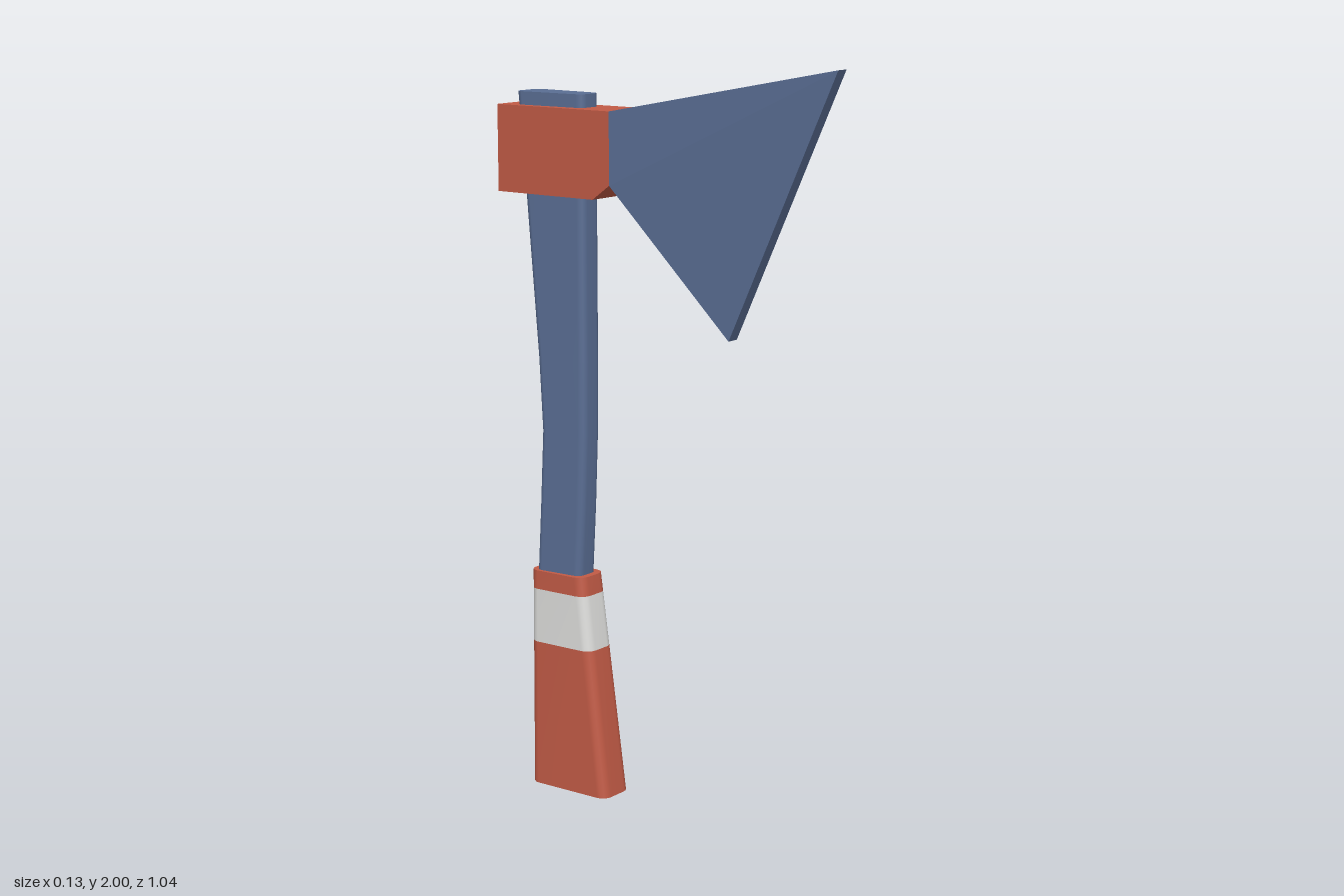
import * as THREE from 'three';

const steelBlue = new THREE.MeshStandardMaterial({ name: 'steel blue', color: 0x5a6e94 });
const brickRed = new THREE.MeshStandardMaterial({ name: 'brick red', color: 0xc25b46 });
const paleGrey = new THREE.MeshStandardMaterial({ name: 'pale grey', color: 0xdededc });

// Rounded, slightly tapered cross-section: half-widths at its front and back
function ring({ y, front, back, wf, wb, r }) {
  const corners = [
    [wf - r, front - r, 0], [-wf + r, front - r, 1],
    [-wb + r, back + r, 2], [wb - r, back + r, 3],
  ];
  const points = [];
  for (const [x, z, quarter] of corners) {
    for (let k = 0; k <= 4; k++) {
      const a = (quarter + k / 4) * Math.PI / 2;
      points.push([x + r * Math.cos(a), y, z + r * Math.sin(a)]);
    }
  }
  return points;
}

// Skin the sections from bottom to top, with optional flat caps
function loft(sections, capBottom, capTop) {
  const rings = sections.map(ring);
  const n = rings[0].length;
  const position = rings.flat(2);
  const index = [];
  for (let j = 0; j < rings.length - 1; j++) {
    for (let i = 0; i < n; i++) {
      const a = j * n + i, b = j * n + (i + 1) % n;
      index.push(a, a + n, b, b, a + n, b + n);
    }
  }
  const addCap = (points, up) => {
    const base = position.length / 3;
    position.push(...points.flat());
    for (let i = 1; i < n - 1; i++) {
      index.push(base, base + (up ? i + 1 : i), base + (up ? i : i + 1));
    }
  };
  if (capBottom) addCap(rings[0], false);
  if (capTop) addCap(rings[rings.length - 1], true);
  const geometry = new THREE.BufferGeometry();
  geometry.setAttribute('position', new THREE.Float32BufferAttribute(position, 3));
  geometry.setIndex(index);
  geometry.computeVertexNormals();
  return geometry;
}

// Grip section at height y: straight back, front flaring towards the foot
function gripSection(y, tilt = 0) {
  const t = y / 0.61;
  const w = 0.06 - 0.005 * t;
  return { y: y + tilt, front: -0.18 - 0.08 * t, back: -0.44, wf: w - 0.004, wb: w, r: 0.028 };
}

export function createModel() {
  const group = new THREE.Group();
  const add = (name, geometry, material) => {
    const mesh = new THREE.Mesh(geometry, material);
    mesh.name = name;
    group.add(mesh);
  };

  // Curved shaft, running through the head
  const shaft = [
    [0.59, -0.28, -0.426], [0.8, -0.268, -0.414], [1.0, -0.26, -0.404],
    [1.2, -0.258, -0.415], [1.64, -0.258, -0.452], [1.905, -0.258, -0.476],
  ].map(([y, front, back]) => ({ y, front, back, wf: 0.037, wb: 0.045, r: 0.02 }));
  add('shaft', loft(shaft, true, true), steelBlue);

  // Grip in three stacked bands
  add('gripLower', loft([gripSection(0), gripSection(0.408)], true, false), brickRed);
  add('gripBand', loft([gripSection(0.408), gripSection(0.558)], false, false), paleGrey);
  add('gripUpper', loft([gripSection(0.558), gripSection(0.61)], false, true), brickRed);

  // Head collar: side profile extruded across the width
  const profile = new THREE.Shape([
    [0.52, 1.64], [0.52, 1.87], [0.145, 1.87], [0.145, 1.68], [0.2, 1.64],
  ].map(([back, y]) => new THREE.Vector2(back, y)));
  const collar = new THREE.ExtrudeGeometry(profile, { depth: 0.134, bevelEnabled: false });
  collar.translate(0, 0, -0.067).rotateY(Math.PI / 2);
  add('headCollar', collar, brickRed);

  // Blade: a box whose corners widen from the collar to a thin slanted edge
  const blade = new THREE.BoxGeometry(1, 1, 1).toNonIndexed();
  const p = blade.attributes.position;
  for (let i = 0; i < p.count; i++) {
    const side = Math.sign(p.getX(i)), top = p.getY(i) > 0;
    if (p.getZ(i) > 0) p.setXYZ(i, side * 0.018, top ? 2 : 1.305, top ? 0.52 : 0.2);
    else p.setXYZ(i, side * 0.067, top ? 1.87 : 1.68, -0.145);
  }
  blade.computeVertexNormals();
  add('blade', blade, steelBlue);

  return group;
}
